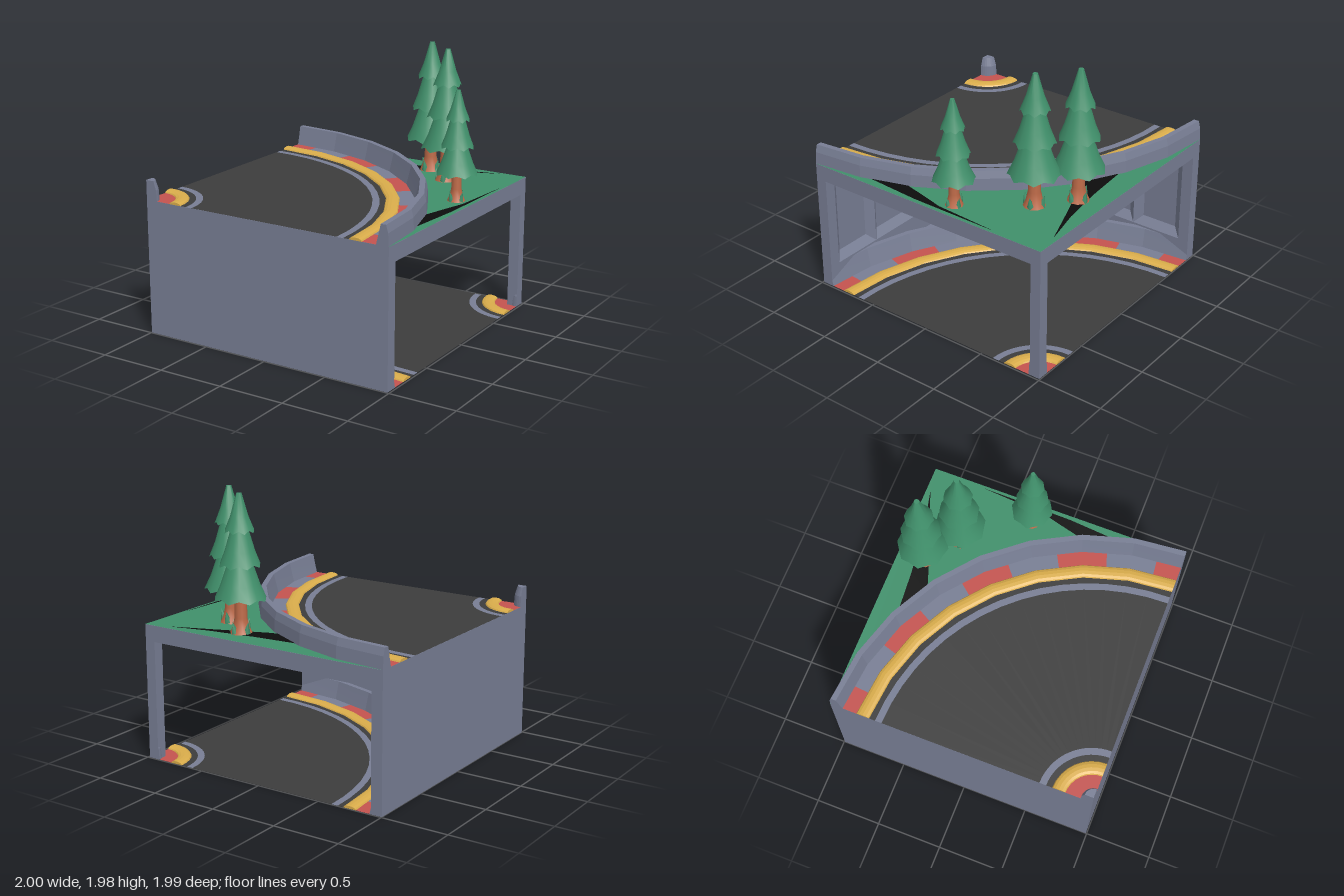
import * as THREE from 'three';
import { toCreasedNormals } from 'three/addons/utils/BufferGeometryUtils.js';

const S = 1.986, H = S / 2, Q = Math.PI / 2;
const X0 = -1, X1 = X0 + S;

const mat = (name, color, side = THREE.DoubleSide) => {
  const m = new THREE.MeshStandardMaterial({ color, side });
  m.name = name;
  return m;
};

export function createModel() {
  const stone = mat('stone grey', 0x787e94);
  const asphalt = mat('asphalt', 0x3d3d3d);
  const red = mat('kerb red', 0xc4534f);
  const yellow = mat('kerb yellow', 0xdaad4b);
  const green = mat('green', 0x40906b);
  const bark = mat('bark', 0xbd6a48);
  const black = mat('black', 0x0d0d0d);

  const add = (parent, name, geo, material, x = 0, y = 0, z = 0) => {
    const m = new THREE.Mesh(geo, material);
    m.name = name;
    m.position.set(x, y, z);
    parent.add(m);
    return m;
  };
  const group = (parent, name, x = 0, y = 0, z = 0) => {
    const g = new THREE.Group();
    g.name = name;
    g.position.set(x, y, z);
    parent.add(g);
    return g;
  };
  const vec = (pts) => pts.map(([x, y]) => new THREE.Vector2(x, y));
  // box given by its minimum and maximum corners
  const block = (parent, name, a, b, material = stone) =>
    add(parent, name, new THREE.BoxGeometry(b[0] - a[0], b[1] - a[1], b[2] - a[2]), material,
      (a[0] + b[0]) / 2, (a[1] + b[1]) / 2, (a[2] + b[2]) / 2);

  // quarter-circle sweep of a profile, from +x round to -z
  const sweep = (pts, segs, start = 0, length = Q) =>
    toCreasedNormals(new THREE.LatheGeometry(vec(pts), segs, Q + start, length), 0.15);
  const flatBand = (g, name, r0, r1, material, y = 0.001) =>
    add(g, name, sweep([[r1, y], [r0, y]], 16), material);
  const solidArc = (g, name, pts, material, segs = 8) => {
    add(g, name, sweep(pts, segs), material);
    const cap = new THREE.ShapeGeometry(new THREE.Shape(vec(pts)));
    add(g, name + 'EndA', cap, material);
    add(g, name + 'EndB', cap.clone().rotateY(Q), material);
  };
  const hump = (r0, r1, h) => {
    const pts = [];
    for (let i = 0; i <= 6; i++) {
      const a = (i / 6) * Math.PI;
      pts.push([(r0 + r1) / 2 + Math.cos(a) * (r1 - r0) / 2, Math.sin(a) * h]);
    }
    return pts;
  };

  // one quarter-turn of track with kerbs, rail and the ground outside it
  const track = (parent, name, groundMat, x, y, z) => {
    const g = group(parent, name, x, y, z);
    solidArc(g, 'innerPost', [[0.09, 0], [0.085, 0.08], [0.065, 0.145], [0, 0.145], [0, 0]], stone);
    flatBand(g, 'innerKerb', 0.08, 0.21, red);
    solidArc(g, 'innerYellowKerb', hump(0.2, 0.3, 0.02), yellow);
    flatBand(g, 'innerShoulder', 0.285, 0.345, asphalt);
    flatBand(g, 'innerLine', 0.345, 0.395, stone);
    flatBand(g, 'road', 0.395, 1.59, asphalt);
    flatBand(g, 'outerLine', 1.59, 1.64, stone);
    flatBand(g, 'outerShoulder', 1.64, 1.695, asphalt);
    solidArc(g, 'outerYellowKerb', hump(1.685, 1.785, 0.02), yellow);
    // alternating kerb blocks, half a block at each end
    const step = Q / 16;
    for (let i = 0; i < 16; i++) {
      const isRed = Math.floor((i + 1) / 2) % 2 === 0;
      add(g, 'kerbBlock', sweep([[1.9, 0.001], [1.77, 0.001]], 1, i * step, step), isRed ? red : stone);
    }
    solidArc(g, 'guardRail',
      [[1.985, 0], [1.98, 0.09], [1.965, 0.145], [1.925, 0.145], [1.905, 0.06], [1.89, 0]], stone);
    const shape = new THREE.Shape(vec([[1.91, 0], [S, 0], [S, S], [0, S], [0, 1.91]]));
    shape.absarc(0, 0, 1.91, Q, 0, true);
    add(g, 'outerGround', new THREE.ShapeGeometry(shape, 16).rotateX(-Q), groundMat, 0, 0.001, 0);
    return g;
  };

  // recessed panel with bevelled sides, facing +z
  const panel = (x0, x1, y0, y1, front, back, bevel) => {
    const pos = [];
    for (const [b, z] of [[0, front], [bevel, back]]) {
      pos.push(x0 + b, y0 + b, z, x1 - b, y0 + b, z, x1 - b, y1 - b, z, x0 + b, y1 - b, z);
    }
    const idx = [4, 5, 6, 4, 6, 7];
    for (let i = 0; i < 4; i++) {
      const j = (i + 1) % 4;
      idx.push(i, j, j + 4, i, j + 4, i + 4);
    }
    let geo = new THREE.BufferGeometry();
    geo.setAttribute('position', new THREE.Float32BufferAttribute(pos, 3));
    geo.setIndex(idx);
    geo = geo.toNonIndexed();
    geo.computeVertexNormals();
    return geo;
  };
  const wall = (parent, name, x, z, turn) => {
    const g = group(parent, name, x, 0, z);
    g.rotation.y = turn;
    const edges = [0.085, H - 0.5, H, H + 0.5, S - 0.085];
    block(g, 'wallBack', [0, 0, 0], [S, 1, 0.02]);
    block(g, 'wallPlinth', [0, 0, 0], [S, 0.16, 0.085]);
    for (const u of [0, S - 0.085]) block(g, 'wallEnd', [u, 0, 0], [u + 0.085, 0.9, 0.085]);
    for (let i = 0; i < 4; i++) {
      add(g, 'wallPanel', panel(edges[i], edges[i + 1], 0.16, 0.88, 0.085, 0.035, 0.062), stone);
    }
  };

  const model = new THREE.Group();
  model.name = 'twoLevelTrack';

  // structure
  wall(model, 'frontWall', X1, H, Math.PI);
  wall(model, 'leftWall', X0, H, Q);
  block(model, 'cornerBlock', [X0 + 0.02, 0.17, 0.66], [-0.66, 0.89, H - 0.02]);
  block(model, 'cornerPost', [X1 - 0.08, 0, -H], [X1, 0.9, -H + 0.08]);
  block(model, 'deck', [X0, 0.94, -H], [X1, 1, H]);
  const frame = new THREE.Shape(vec([[-H, -H], [H, -H], [H, H], [-H, H]]));
  frame.holes.push(new THREE.Path(vec([[-0.65, -0.65], [-0.65, 0.65], [0.65, 0.65], [0.65, -0.65]])));
  add(model, 'deckFrame', new THREE.ExtrudeGeometry(frame, { depth: 0.06, bevelEnabled: false }).rotateX(-Q),
    stone, (X0 + X1) / 2, 0.88, 0);

  // the two roads turn about opposite corners
  track(model, 'upperTrack', green, X0, 1, H);
  track(model, 'lowerTrack', stone, X1, 0, -H).rotation.y = Math.PI;
  block(model, 'floorPatch', [-0.9, 0, 0.6], [-0.81, 0.002, 0.94], bark);

  // dark patches on the grass
  const patch = (pts) => add(model, 'darkPatch',
    new THREE.ShapeGeometry(new THREE.Shape(vec(pts.map(([x, z]) => [x, -z])))).rotateX(-Q), black, 0, 1.004, 0);
  patch([[-0.22, -0.81], [0.14, -0.84], [0.5, -0.89], [0.8, -0.96], [0.48, -0.84], [0.12, -0.7], [0.04, -0.68]]);
  patch([[0.84, 0.25], [0.92, 0.55], [0.955, 0.1], [0.965, -0.6], [0.93, -0.1], [0.89, 0.05]]);

  // trees: trunk, three scalloped tiers, small leaves at the foot
  const tier = (rim, neck, y0, y1) => {
    const rMid = neck + (rim - neck) * 0.5;
    const geo = new THREE.LatheGeometry(vec([
      [neck * 0.5, y0 + 0.05], [rim, y0], [rMid, y0 + (y1 - y0) * 0.42], [neck, y1], [0, y1]]), 16);
    const p = geo.attributes.position;
    for (let i = 0; i < p.count; i++) {
      const column = Math.floor(i / 5);
      if (i % 5 === 1 && column % 2) p.setXYZ(i, p.getX(i) * 0.93, p.getY(i) + 0.022, p.getZ(i) * 0.93);
    }
    return toCreasedNormals(geo, 0.8);
  };
  const trunk = new THREE.LatheGeometry(vec([[0.08, 0], [0.058, 0.05], [0.045, 0.11], [0.04, 0.33]]), 10);
  const leaf = new THREE.ConeGeometry(0.028, 0.085, 5);
  const tree = (x, z, s, turn) => {
    const g = group(model, 'tree', x, 1, z);
    g.scale.setScalar(s);
    g.rotation.y = turn;
    add(g, 'trunk', trunk, bark);
    add(g, 'lowerFoliage', tier(0.188, 0.085, 0.24, 0.5), green);
    add(g, 'middleFoliage', tier(0.148, 0.06, 0.475, 0.735), green);
    add(g, 'upperFoliage', tier(0.106, 0.018, 0.71, 0.98), green);
    for (let i = 0; i < 4; i++) {
      const a = i * Q + 0.4;
      const m = add(g, 'footLeaf', leaf, green, Math.cos(a) * 0.066, 0.05, Math.sin(a) * 0.066);
      m.rotation.set(Math.sin(a) * 0.25, 0, -Math.cos(a) * 0.25);
    }
  };
  tree(0.283, -0.795, 1, 0.2);
  tree(0.522, -0.6, 1, 0.6);
  tree(0.845, -0.165, 0.81, 0.1);

  return model;
}
